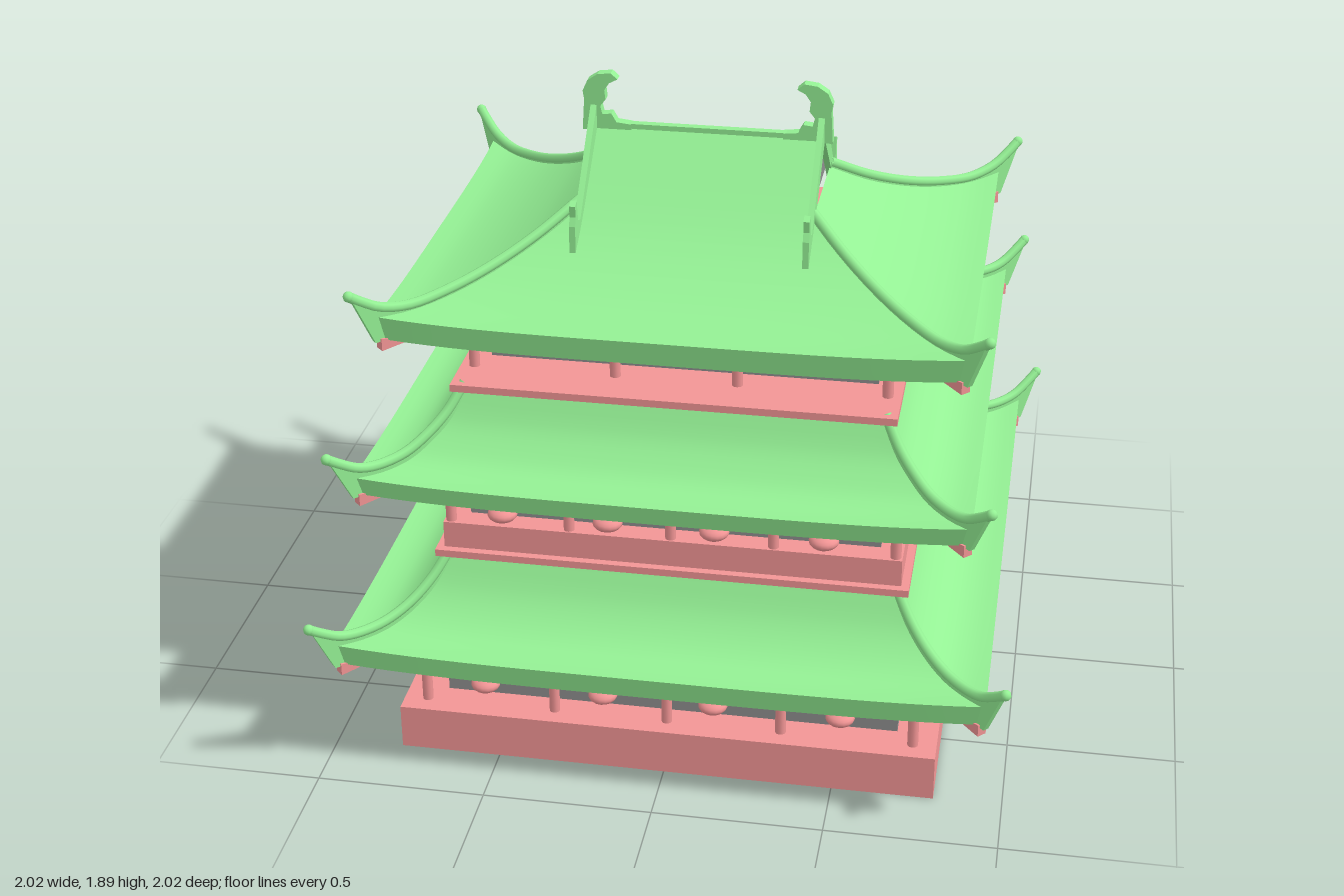
import * as THREE from 'three';

const material = (color) => new THREE.MeshStandardMaterial({ color, side: THREE.DoubleSide });
const V2 = (p) => new THREE.Vector2(p[0], p[1]);

// Upturn of the eaves towards the corners (s = 1 at a hip, e = distance in from the eave)
const cornerLift = (s, e) => 0.02 * s ** 4 * Math.max(0, 1 - e / 0.3) ** 2;

// Roof panel facing +z: profile is [distance in from eave, height]
function panelGeometry(along, out, profile, minHalf = 0) {
  const curve = new THREE.SplineCurve(profile.map(V2));
  const rows = profile.length > 2 ? 16 : 3, cols = 24, pos = [], idx = [];
  for (let i = 0; i <= rows; i++) {
    const p = curve.getPoint(i / rows);
    const half = Math.max(minHalf, along - p.x);
    for (let j = 0; j <= cols; j++) {
      const s = (j / cols) * 2 - 1;
      pos.push(s * half, p.y + cornerLift(s, p.x), out - p.x);
      if (i < rows && j < cols) {
        const a = i * (cols + 1) + j, b = a + cols + 1;
        idx.push(a, a + 1, b, a + 1, b + 1, b);
      }
    }
  }
  const g = new THREE.BufferGeometry();
  g.setAttribute('position', new THREE.Float32BufferAttribute(pos, 3));
  g.setIndex(idx);
  g.computeVertexNormals();
  return g;
}

function extrudeCentred(points, depth) {
  const g = new THREE.ExtrudeGeometry(new THREE.Shape(points.map(V2)), { depth, bevelEnabled: false });
  return g.translate(0, 0, -depth / 2);
}

export function createModel() {
  const model = new THREE.Group();
  const green = material(0x94f094), red = material(0xf29595), grey = material(0x8e8e8e);

  const add = (name, geometry, mat, parent = model) => {
    const m = new THREE.Mesh(geometry, mat);
    m.name = name;
    parent.add(m);
    return m;
  };
  const box = (name, mat, x0, x1, y0, y1, z0, z1) =>
    add(name, new THREE.BoxGeometry(x1 - x0, y1 - y0, z1 - z0), mat)
      .position.set((x0 + x1) / 2, (y0 + y1) / 2, (z0 + z1) / 2);

  // Hollow platform: wx and wz are the side and front widths; the rear is a slim beam
  function platform(name, hx, hz, y0, y1, wx, wz, rearY0 = y0, rearW = 0.03) {
    box(name + 'Front', red, -hx, hx, y0, y1, hz - wz, hz);
    box(name + 'Rear', red, -hx + wx, hx - wx, rearY0, y1, -hz, -hz + rearW);
    for (const s of [-1, 1]) {
      const c = s * (hx - wx / 2);
      box(name + 'Side', red, c - wx / 2, c + wx / 2, y0, y1, -hz, hz - wz);
    }
  }

  // Walls on three sides, open at the rear
  function walls(hx, hz, y0, y1) {
    const t = 0.01;
    box('frontWall', grey, -hx, hx, y0, y1, hz - t, hz);
    box('leftWall', grey, hx - t, hx, y0, y1, -hz, hz - t);
    box('rightWall', grey, -hx, -hx + t, y0, y1, -hz, hz - t);
  }

  function column(x, z, y0, y1) {
    const h = y1 - y0;
    add('column', new THREE.CylinderGeometry(0.016, 0.016, h, 12), red).position.set(x, y0 + h / 2, z);
    add('columnCapital', new THREE.CylinderGeometry(0.02, 0.016, 0.025, 12), red).position.set(x, y1 - 0.03, z);
  }
  function columns(hx, hz, frontXs, sideZs, y0, y1) {
    for (const x of frontXs) column(x, hz, y0, y1);
    for (const s of [-1, 1])
      for (const z of [-hz, ...sideZs, hz]) column(s * hx, z, y0, y1);
  }

  function lantern(x, y, z) {
    const g = new THREE.Group();
    g.name = 'lantern';
    g.position.set(x, y, z);
    add('lanternBody', new THREE.SphereGeometry(0.043, 16, 10).scale(1, 0.55, 1), red, g);
    add('lanternCap', new THREE.CylinderGeometry(0.012, 0.02, 0.01, 12), green, g).position.y = 0.024;
    add('lanternBase', new THREE.CylinderGeometry(0.018, 0.012, 0.008, 12), red, g).position.y = -0.024;
    model.add(g);
  }

  // Roof tier: tiles on three sides, soffit on all four, ridge on each hip
  function roof(o) {
    const { W, D, bottom, profile, hipDepth, soffitDepth, soffitRise, hipRise, minHalf = 0 } = o;
    const eave = profile[0][1];
    for (let k = 0; k < 4; k++) {
      const [a, d] = k % 2 ? [D, W] : [W, D];
      const turn = (m) => { m.rotation.y = k * Math.PI / 2; };
      turn(add('soffit', panelGeometry(a - 0.012, d - 0.012,
        [[0, bottom], [soffitDepth, bottom + soffitRise]]), red));
      if (k === 2) continue;
      const prof = k % 2 ? profile.filter((p) => p[0] <= hipDepth) : profile;
      turn(add('roofTiles', panelGeometry(a, d, prof, k ? 0 : minHalf), green));
      turn(add('eaveFascia', panelGeometry(a, d, [[0.012, bottom], [0, eave]]), green));
    }

    // Hip ridge profile in the diagonal plane, sweeping up into a horn
    const inner = profile.filter((p) => p[0] <= hipDepth && p[0] > 0.05).reverse();
    const hip = inner.map(([e, y], i) =>
      [-e * Math.SQRT2, y + cornerLift(1, e) + (i ? hipRise : 0.012)]);
    hip.push([-0.02, eave + 0.045], [0.04, eave + 0.078], [0.075, eave + 0.102]);
    const curve = new THREE.CatmullRomCurve3(hip.map(([u, y]) => new THREE.Vector3(u, y, 0)));
    const top = curve.getPoints(24).map((p) => [p.x, p.y]);
    const under = top.slice(0, -3).reverse().map(([u, y]) =>
      [Math.min(u, 0.005), Math.max(bottom + 0.015, y - (u > -0.06 ? 0.14 : 0.045))]);
    const tube = new THREE.TubeGeometry(curve, 28, 0.015, 8);
    const plate = extrudeCentred([...top, ...under], 0.018);
    for (const sx of [-1, 1]) for (const sz of [-1, 1]) {
      const g = new THREE.Group();
      g.name = 'hipRidge';
      g.position.set(sx * W, 0, sz * D);
      g.rotation.y = Math.atan2(-sz, sx);
      add('hipRoll', tube, green, g);
      add('hipPlate', plate, green, g);
      add('hornTip', new THREE.SphereGeometry(0.016, 10, 8), green, g).position.set(0.075, eave + 0.102, 0);
      add('cornerBracket', extrudeCentred([[-0.19, bottom + 0.006], [-0.01, bottom + 0.025],
        [-0.01, bottom - 0.012]], 0.03), red, g);
      model.add(g);
    }
  }

  // Ground storey, its walls reaching down inside the plinth
  platform('plinth', 0.8, 0.8, 0, 0.14, 0.12, 0.12, 0.06);
  walls(0.68, 0.68, 0, 0.36);
  columns(0.73, 0.738, [-0.34, 0, 0.34], [-0.37, 0, 0.37], 0.14, 0.375);
  for (const x of [-0.52, -0.17, 0.155, 0.525]) lantern(x, 0.285, 0.84);
  roof({
    W: 0.94, D: 0.94, bottom: 0.348, hipDepth: 0.285, soffitDepth: 0.42, soffitRise: 0.02, hipRise: 0.022,
    profile: [[0, 0.415], [0.06, 0.414], [0.12, 0.427], [0.18, 0.465], [0.235, 0.526], [0.285, 0.62]],
  });

  // Middle storey, its walls reaching down to the soffit below
  platform('middleTrim', 0.695, 0.695, 0.615, 0.637, 0.09, 0.09);
  platform('middleFloor', 0.672, 0.672, 0.637, 0.72, 0.067, 0.067, 0.66);
  walls(0.605, 0.605, 0.37, 0.9);
  columns(0.652, 0.652, [-0.3, 0, 0.3], [-0.33, 0, 0.33], 0.72, 0.91);
  for (const x of [-0.46, -0.155, 0.15, 0.46]) lantern(x, 0.838, 0.79);
  roof({
    W: 0.87, D: 0.87, bottom: 0.883, hipDepth: 0.265, soffitDepth: 0.4, soffitRise: 0.02, hipRise: 0.022,
    profile: [[0, 0.94], [0.06, 0.94], [0.12, 0.957], [0.17, 0.995], [0.22, 1.051], [0.265, 1.14]],
  });

  // Top storey, likewise
  platform('topFloor', 0.64, 0.64, 1.135, 1.157, 0.075, 0.205, 1.135, 0.2);
  walls(0.567, 0.435, 0.905, 1.3);
  columns(0.6, 0.505, [-0.185, 0.17], [-0.17, 0.165], 1.157, 1.3);
  roof({
    W: 0.832, D: 0.69, bottom: 1.288, hipDepth: 0.49, soffitDepth: 0.38, soffitRise: 0.03, hipRise: 0.014, minHalf: 0.34,
    profile: [[0, 1.36], [0.08, 1.363], [0.17, 1.384], [0.27, 1.422], [0.38, 1.48], [0.49, 1.56], [0.69, 1.735]],
  });

  // Main ridge
  box('mainRidge', green, -0.34, 0.34, 1.7, 1.738, -0.012, 0.014);

  // Gable ends, descending ridges with hooks, and curled ridge ends
  const slope = [[0.27, 1.535], [0.3, 1.545], [0.312, 1.61], [0.335, 1.6], [0.33, 1.565],
    [0.342, 1.54], [0.345, 1.447], [0.29, 1.45], [0.19, 1.55]];
  const ridgeOutline = [[0, 1.81], ...slope, [0, 1.72],
    ...slope.slice().reverse().map(([z, y]) => [-z, y])];
  const finial = [[0.225, 1.715], [0.372, 1.715], [0.366, 1.81], [0.37, 1.835], [0.355, 1.868], [0.325, 1.888],
    [0.285, 1.893], [0.265, 1.875], [0.29, 1.862], [0.305, 1.84], [0.302, 1.81], [0.318, 1.79],
    [0.312, 1.765], [0.285, 1.768], [0.27, 1.742], [0.225, 1.737]];
  for (const s of [-1, 1]) {
    const gable = add('gable', extrudeCentred([[0, 1.735], [0.2, 1.555], [-0.2, 1.555]], 0.008), grey);
    gable.rotation.y = Math.PI / 2;
    gable.position.x = s * 0.325;
    const ridge = add('descendingRidge', extrudeCentred(ridgeOutline, 0.018), green);
    ridge.rotation.y = Math.PI / 2;
    ridge.position.x = s * 0.338;
    const end = add('ridgeFinial', extrudeCentred(finial, 0.034), green);
    if (s < 0) end.rotation.y = Math.PI;
  }
  return model;
}
